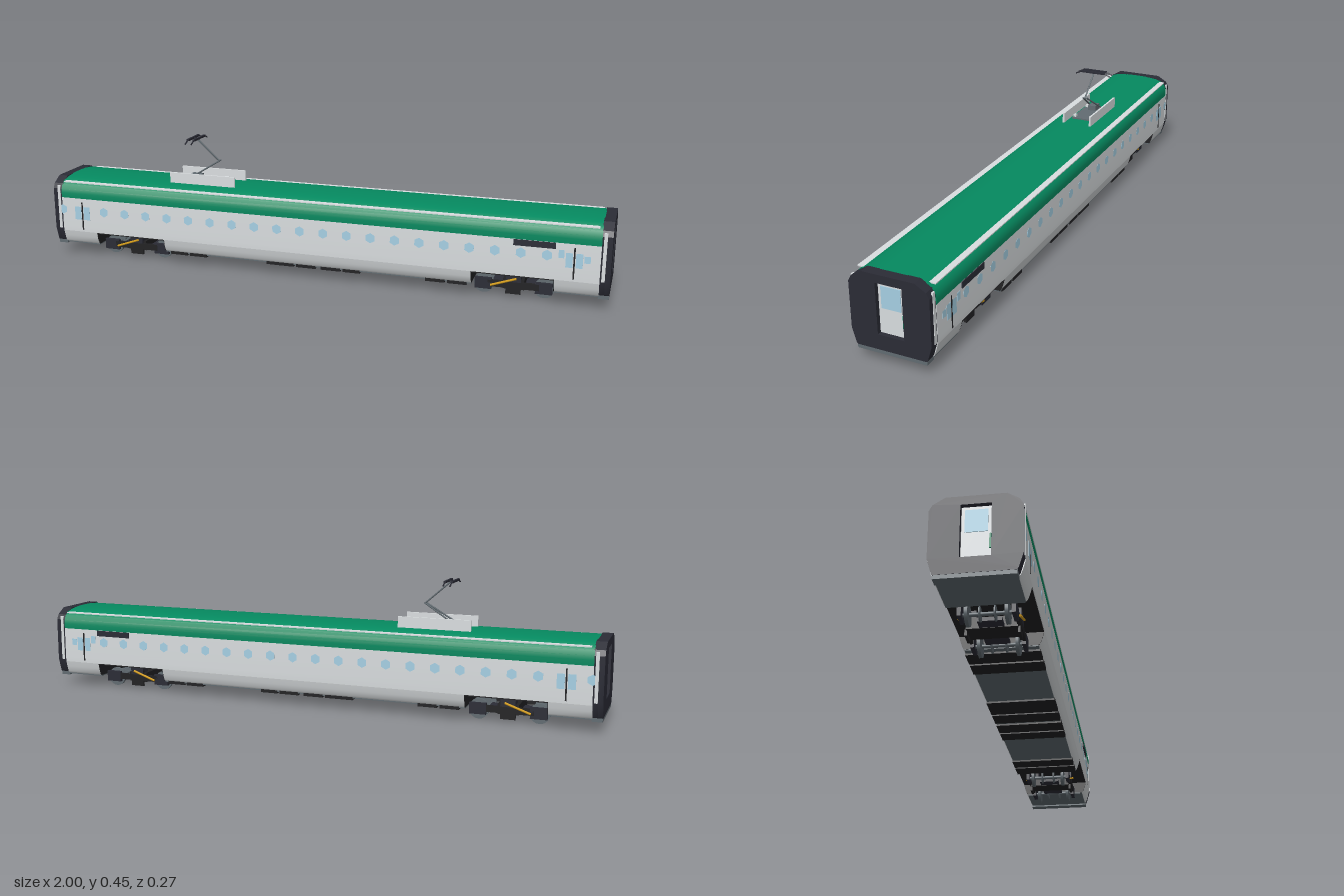
import * as THREE from 'three';
import { toCreasedNormals } from 'three/addons/utils/BufferGeometryUtils.js';

const mat = (name, color) => new THREE.MeshStandardMaterial({ name, color });

export function createModel() {
  const green = mat('green paint', 0x058a60), silver = mat('silver paint', 0xdadee0);
  const dark = mat('dark end', 0x2b2c36), black = mat('black', 0x222224);
  const slate = mat('slate metal', 0x626c72), blue = mat('window blue', 0xa6d0e4);
  const yellow = mat('yellow damper', 0xd8a01c);
  const root = new THREE.Group();

  const add = (name, geo, m, x = 0, y = 0, z = 0, parent = root) => {
    const mesh = new THREE.Mesh(geo, m);
    mesh.name = name;
    mesh.position.set(x, y, z);
    parent.add(mesh);
    return mesh;
  };
  // box given by its lower and upper corners
  const box = (name, m, x0, x1, y0, y1, z0, z1, parent = root) =>
    add(name, new THREE.BoxGeometry(x1 - x0, y1 - y0, z1 - z0), m, (x0 + x1) / 2, (y0 + y1) / 2, (z0 + z1) / 2, parent);
  // symmetric cross-section, given as its +z half from bottom to top, drawn out along x
  const section = (name, m, half, x0, x1, hole) => {
    const pts = [...half, ...half.filter(p => p[0] > 0).reverse().map(([z, y]) => [-z, y])];
    const shape = new THREE.Shape(pts.map(p => new THREE.Vector2(...p)));
    if (hole) shape.holes.push(new THREE.Path(hole.map(p => new THREE.Vector2(...p))));
    const geo = new THREE.ExtrudeGeometry(shape, { depth: x1 - x0, bevelEnabled: false });
    geo.rotateY(Math.PI / 2);
    return add(name, toCreasedNormals(geo, 0.5), m, x0);
  };
  // round bar between two points
  const bar = (name, m, a, b, r, parent = root) => {
    const p = new THREE.Vector3(...a), q = new THREE.Vector3(...b);
    const mesh = add(name, new THREE.CylinderGeometry(r, r, p.distanceTo(q), 6), m, 0, 0, 0, parent);
    mesh.position.copy(p).lerp(q, 0.5);
    mesh.quaternion.setFromUnitVectors(new THREE.Vector3(0, 1, 0), q.sub(p).normalize());
    return mesh;
  };

  // body shell, with open bays over the bogies
  const END = 0.967, bays = [[-0.83, -0.56], [0.555, 0.825]];
  section('roof', green, [[0.131, 0.218], [0.132, 0.236], [0.13, 0.25], [0.122, 0.266], [0.108, 0.277],
    [0.085, 0.285], [0.045, 0.289], [0, 0.29]], -END, END);
  section('upperSides', silver, [[0.13, 0.092], [0.131, 0.11], [0.131, 0.218]], -END, END);
  const skirt = [[0.113, 0.046], [0.118, 0.052], [0.125, 0.072], [0.13, 0.092]];
  [[-END, bays[0][0]], [bays[0][1], bays[1][0]], [bays[1][1], END]].forEach(([x0, x1]) => {
    section('skirt', silver, skirt, x0, x1);
    box('underside', slate, x0, x1, 0.042, 0.0465, -0.112, 0.112);
  });
  bays.forEach(([x0, x1]) => {
    box('bayCeiling', black, x0, x1, 0.088, 0.0925, -0.128, 0.128);
    for (const x of [x0, x1]) section('bayEnd', black, skirt, x - 0.001, x + 0.001);
  });
  [[-0.54, -0.475], [-0.465, -0.4], [-0.17, -0.07], [-0.06, 0.01], [0.03, 0.1], [0.11, 0.17], [0.4, 0.465], [0.475, 0.54]]
    .forEach(([x0, x1]) => box('underfloorPanel', black, x0, x1, 0.036, 0.047, -0.114, 0.114));

  // details on both sides
  for (const s of [-1, 1]) {
    const plate = (name, m, x0, x1, y0, y1, t = 0.0008) =>
      box(name, m, x0, x1, y0, y1, s * 0.131 - t, s * 0.131 + t);
    box('gutter', silver, -0.957, 0.957, 0.2745, 0.278, s * 0.1155 - 0.011, s * 0.1155 + 0.011);
    plate('destinationPanel', dark, 0.69, 0.825, 0.197, 0.217, 0.003);
    for (const x of [-0.885, 0.885]) plate('doorLine', black, x - 0.0025, x + 0.0025, 0.1, 0.205, 0.0014);
    [[-0.915, -0.89, 0.138, 0.187], [-0.88, -0.855, 0.138, 0.187], [0.835, 0.853, 0.168, 0.195],
      [0.858, 0.88, 0.138, 0.187], [0.89, 0.912, 0.138, 0.187], [0.916, 0.936, 0.157, 0.18]]
      .forEach(w => plate('doorWindow', blue, ...w));
    for (let i = 0; i < 22; i++) {
      const x = -0.965 + i * 0.084;
      if (Math.abs(x + 0.885) < 0.035) continue;
      const port = add('porthole', new THREE.CylinderGeometry(0.018, 0.018, 0.0008, 6), blue, x, 0.173, s * 0.131);
      port.rotation.x = Math.PI / 2;
    }
  }

  // end walls with a recessed gangway door
  const wall = [[0.113, 0.049], [0.117, 0.055], [0.13, 0.1], [0.13, 0.25], [0.12, 0.268], [0.085, 0.289]];
  const opening = [[-0.043, 0.098], [-0.043, 0.262], [0.043, 0.262], [0.043, 0.098]];
  for (const s of [-1, 1]) {
    const span = (a, b) => (s > 0 ? [a, b] : [-b, -a]);
    section('endWall', dark, wall, ...span(0.984, 1), opening);
    section('endFrame', dark, wall, ...span(0.965, 0.985));
    box('gangwayDoor', silver, ...span(0.984, 0.988), 0.1, 0.26, -0.041, 0.041);
    box('gangwayWindow', blue, ...span(0.986, 0.99), 0.18, 0.25, -0.032, 0.032);
    const z = -s * 0.0385;
    box('doorHandle', green, ...span(0.986, 0.991), 0.127, 0.172, z - 0.0025, z + 0.0025);
    box('endSill', slate, ...span(0.965, 0.999), 0.037, 0.0495, -0.114, 0.114);
    for (const t of [-1, 1])
      box('endTrim', silver, ...span(0.972, 0.983), 0.1, 0.262, t * 0.129 - 0.003, t * 0.129 + 0.003);
  }

  // bogies
  for (const cx of [-0.695, 0.69]) {
    const bogie = new THREE.Group();
    bogie.name = 'bogie';
    bogie.position.x = cx;
    root.add(bogie);
    for (const dx of [-0.1, 0.1]) {
      const disc = (name, m, r, w, z) => {
        add(name, new THREE.CylinderGeometry(r, r, w, 20), m, dx, 0.034, z, bogie).rotation.x = Math.PI / 2;
      };
      disc('axle', slate, 0.006, 0.15, 0);
      for (const s of [-1, 1]) {
        disc('wheel', slate, 0.034, 0.01, s * 0.057);
        disc('brakeDisc', slate, 0.023, 0.004, s * 0.022);
        box('axleBox', dark, dx - 0.028, dx + 0.028, 0.02, 0.058, s * 0.077 - 0.006, s * 0.077 + 0.006, bogie);
      }
    }
    for (const s of [-1, 1]) {
      box('sideFrame', black, -0.085, 0.085, 0.03, 0.052, s * 0.078 - 0.005, s * 0.078 + 0.005, bogie);
      box('springSeat', black, -0.025, 0.025, 0.01, 0.068, s * 0.077 - 0.004, s * 0.077 + 0.004, bogie);
      bar('damper', yellow, [-0.075, 0.036, s * 0.087], [0.01, 0.066, s * 0.087], 0.004, bogie);
      box('airSpring', dark, -0.025, 0.025, 0.05, 0.09, s * 0.065 - 0.018, s * 0.065 + 0.018, bogie);
    }
    box('bolster', black, -0.035, 0.035, 0.025, 0.06, -0.075, 0.075, bogie);
    box('centreBeam', dark, -0.075, 0.075, 0.026, 0.036, -0.036, 0.036, bogie);
  }

  // pantograph and its roof fairings
  const panto = new THREE.Group();
  panto.name = 'pantograph';
  root.add(panto);
  box('base', slate, -0.51, -0.36, 0.288, 0.295, -0.04, 0.04, panto);
  box('motorBox', slate, -0.5, -0.46, 0.295, 0.314, -0.015, 0.015, panto);
  for (const s of [-1, 1]) {
    box('fairing', silver, -0.56, -0.31, 0.287, 0.325, s * 0.053 - 0.0035, s * 0.053 + 0.0035, panto);
    for (const x of [-0.495, -0.375])
      box('insulator', silver, x - 0.007, x + 0.007, 0.289, 0.304, s * 0.032 - 0.005, s * 0.032 + 0.005, panto);
    bar('lowerArm', slate, [-0.5, 0.3, s * 0.02], [-0.39, 0.368, s * 0.007], 0.003, panto);
  }
  bar('elbow', slate, [-0.39, 0.368, -0.01], [-0.39, 0.368, 0.01], 0.0035, panto);
  bar('upperArm', slate, [-0.39, 0.368, 0], [-0.475, 0.443, 0], 0.003, panto);
  bar('headLink', dark, [-0.49, 0.444, 0], [-0.465, 0.444, 0], 0.003, panto);
  for (const x of [-0.49, -0.467]) {
    box('contactStrip', dark, x - 0.004, x + 0.004, 0.443, 0.45, -0.047, 0.047, panto);
    for (const s of [-1, 1]) bar('horn', dark, [x, 0.447, s * 0.046], [x, 0.436, s * 0.07], 0.0025, panto);
  }
  return root;
}
